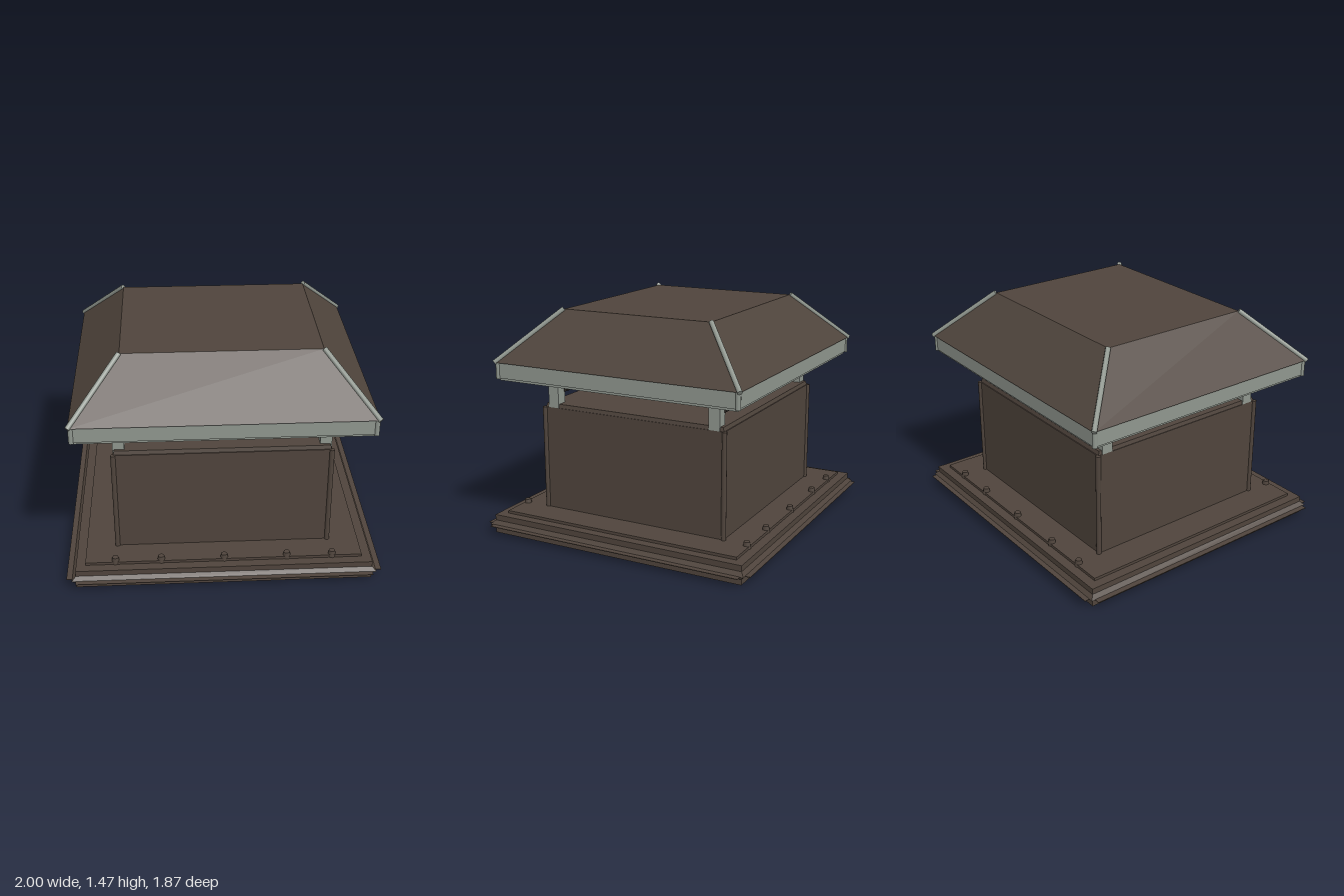
import * as THREE from 'three';

const mat = (name, color) => {
  const m = new THREE.MeshStandardMaterial({ color });
  m.name = name;
  return m;
};

export function createModel() {
  const model = new THREE.Group();
  model.name = 'chimneyCap';
  const brown = mat('brownMetal', 0x4f443c);
  const grey = mat('greyTrim', 0x8f968e);
  const dark = mat('darkRod', 0x2a2521);

  const add = (name, geo, material, x = 0, y = 0, z = 0) => {
    const mesh = new THREE.Mesh(geo, material);
    mesh.name = name;
    mesh.position.set(x, y, z);
    model.add(mesh);
    return mesh;
  };
  // Box given by half sizes in x and z and its bottom and top heights
  const slab = (name, hx, hz, y0, y1, material, x = 0, z = 0) =>
    add(name, new THREE.BoxGeometry(hx * 2, y1 - y0, hz * 2), material, x, (y0 + y1) / 2, z);

  // Rectangular frustum between two levels
  const frustum = (name, bx, bz, y0, tx, tz, y1, material) => {
    const geo = new THREE.BoxGeometry(2, 1, 2);
    const p = geo.attributes.position;
    for (let i = 0; i < p.count; i++) {
      const top = p.getY(i) > 0;
      p.setXYZ(i, p.getX(i) * (top ? tx : bx), top ? y1 : y0, p.getZ(i) * (top ? tz : bz));
    }
    geo.computeVertexNormals();
    return add(name, geo, material);
  };

  // Round bar between two points
  const bar = (name, a, b, r, material, sides = 10) => {
    const dir = b.clone().sub(a);
    const mesh = add(name, new THREE.CylinderGeometry(r, r, dir.length(), sides), material);
    mesh.position.copy(a).add(b).multiplyScalar(0.5);
    mesh.quaternion.setFromUnitVectors(new THREE.Vector3(0, 1, 0), dir.normalize());
    return mesh;
  };
  const v = (x, y, z) => new THREE.Vector3(x, y, z);

  // Base flange with a pointed bead around the edge
  slab('baseFlange', 0.94, 0.88, 0, 0.122, brown);
  slab('basePlate', 0.88, 0.82, 0.122, 0.14, brown);
  frustum('edgeBeadLower', 0.94, 0.88, 0.035, 0.966, 0.904, 0.06, brown);
  frustum('edgeBeadUpper', 0.966, 0.904, 0.06, 0.94, 0.88, 0.085, brown);
  slab('sideFin', 1.0, 0.88, 0.058, 0.062, brown);
  slab('frontBackFin', 0.94, 0.935, 0.058, 0.062, brown);

  // Screws along the front and back
  const screw = new THREE.CylinderGeometry(0.02, 0.027, 0.045, 8);
  for (const z of [-0.8, 0.8])
    for (const x of [-0.69, -0.4, 0, 0.4, 0.69]) add('screw', screw, brown, x, 0.143, z);

  // Chimney body and top rim
  slab('body', 0.682, 0.641, 0.14, 0.82, brown);
  frustum('bodyRim', 0.678, 0.635, 0.82, 0.672, 0.628, 0.845, brown);

  for (const sx of [-1, 1]) {
    for (const sz of [-1, 1]) {
      // Corner seams, posts, fascia corners and roof hips
      bar('bodyCorner', v(sx * 0.68, 0.14, sz * 0.64), v(sx * 0.68, 0.82, sz * 0.64), 0.016, brown);
      slab('post', 0.037, 0.037, 0.82, 1.03, grey, sx * 0.645, sz * 0.572);
      bar('fasciaCorner', v(sx * 0.905, 1.03, sz * 0.828), v(sx * 0.905, 1.135, sz * 0.828), 0.016, grey);
      bar('hipTrim', v(sx * 0.922, 1.135, sz * 0.845), v(sx * 0.617, 1.457, sz * 0.517), 0.016, grey, 8);
    }
  }

  // Flattened rods between the posts, front and back
  for (const z of [-0.567, 0.567]) {
    const rod = bar('crossRod', v(-0.617, 0.93, z), v(0.617, 0.93, z), 0.06, dark, 8);
    rod.scale.x = 0.29;
  }

  // Roof with fascia and soffit
  slab('soffit', 0.9, 0.823, 1.02, 1.045, grey);
  slab('fascia', 0.912, 0.835, 1.036, 1.135, grey);
  frustum('roof', 0.922, 0.845, 1.135, 0.615, 0.515, 1.455, brown);
  return model;
}
